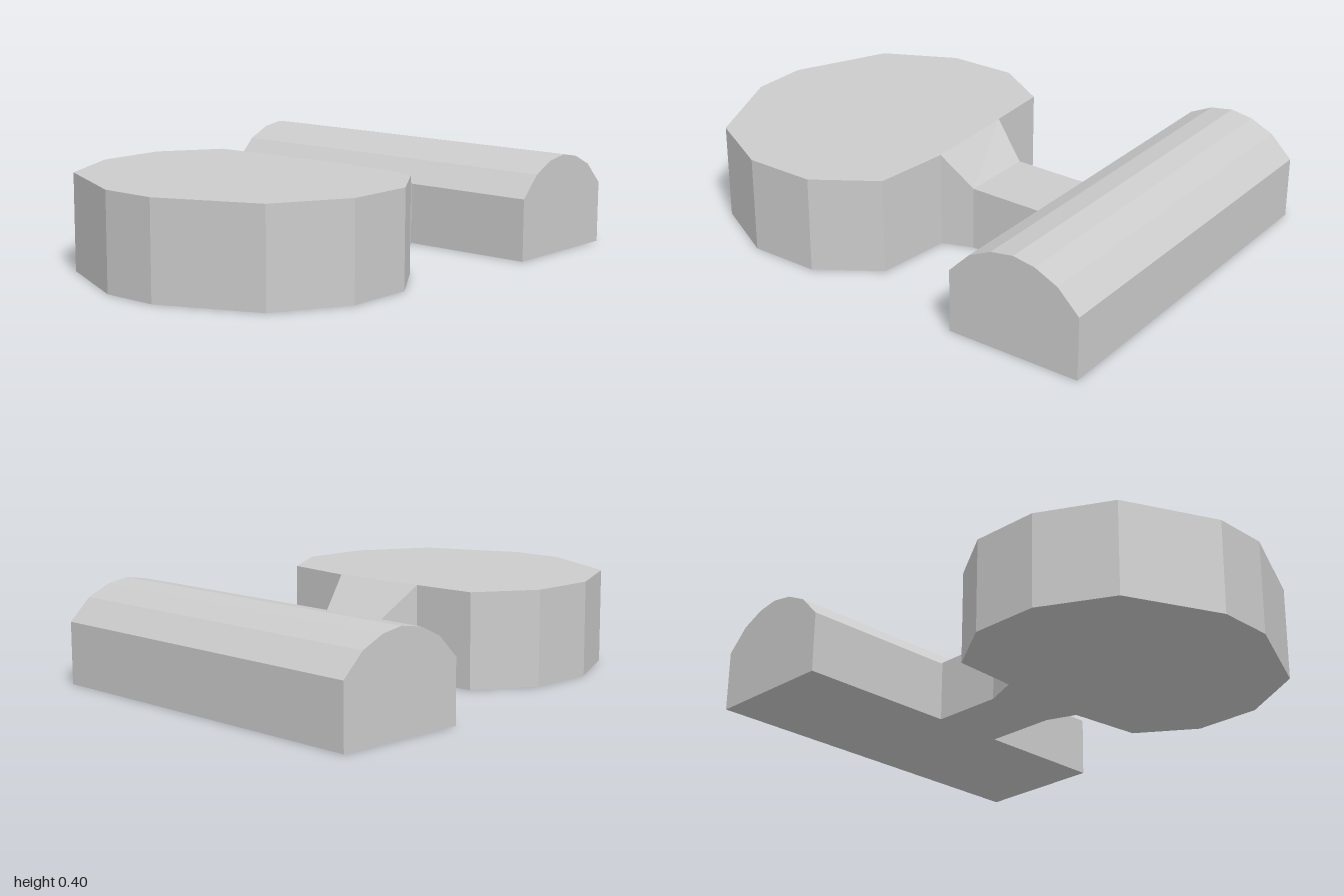
import * as THREE from 'three';

const material = new THREE.MeshStandardMaterial({ color: 0xcccccc, flatShading: true });

function part(name, geometry) {
  const mesh = new THREE.Mesh(geometry, material);
  mesh.name = name;
  return mesh;
}

function prism(points, depth) {
  const shape = new THREE.Shape(points.map(([x, y]) => new THREE.Vector2(x, y)));
  return new THREE.ExtrudeGeometry(shape, { depth, bevelEnabled: false });
}

// Tapered block: each section is [left x, left z, right x, right z, top y]
function loft(sections) {
  const positions = sections.flatMap(([xl, zl, xr, zr, y]) =>
    [xl, 0, zl, xr, 0, zr, xr, y, zr, xl, y, zl]);
  const index = [];
  for (let s = 0; s < sections.length - 1; s++) {
    for (let i = 0; i < 4; i++) {
      const j = (i + 1) % 4;
      const a = s * 4, b = a + 4;
      index.push(a + i, b + i, a + j, a + j, b + i, b + j);
    }
  }
  const geometry = new THREE.BufferGeometry();
  geometry.setAttribute('position', new THREE.Float32BufferAttribute(positions, 3));
  geometry.setIndex(index);
  const flat = geometry.toNonIndexed();
  flat.computeVertexNormals();
  return flat;
}

export function createModel() {
  const group = new THREE.Group();
  group.name = 'model';

  // Faceted flat head, outline in x and z
  const outline = [
    [-0.42, 0.015], [-0.15, 0], [0.26, -0.02], [0.57, 0.015], [0.727, 0.25], [0.727, 0.535],
    [0.57, 0.825], [0.18, 1], [-0.05, 1], [-0.425, 0.825], [-0.57, 0.535], [-0.57, 0.25],
  ];
  const head = prism(outline.map(([x, z]) => [x, -z]), 0.385);
  head.rotateX(-Math.PI / 2);
  group.add(part('head', head));

  // Neck sloping down from the head, then running level into the bar
  group.add(part('neck', loft([
    [-0.15, 0, 0.26, -0.02, 0.385],
    [-0.093, -0.145, 0.215, -0.145, 0.258],
    [-0.093, -0.47, 0.215, -0.47, 0.255],
  ])));

  // Crossbar with a rounded top, profile in z and y
  const profile = [
    [-1, 0], [-0.45, 0], [-0.45, 0.25], [-0.537, 0.338], [-0.63, 0.382],
    [-0.725, 0.397], [-0.815, 0.382], [-0.91, 0.338], [-1, 0.25],
  ];
  const bar = prism(profile, 1.54);
  bar.rotateY(-Math.PI / 2);
  bar.translate(0.77, 0, 0);
  group.add(part('crossbar', bar));

  return group;
}
